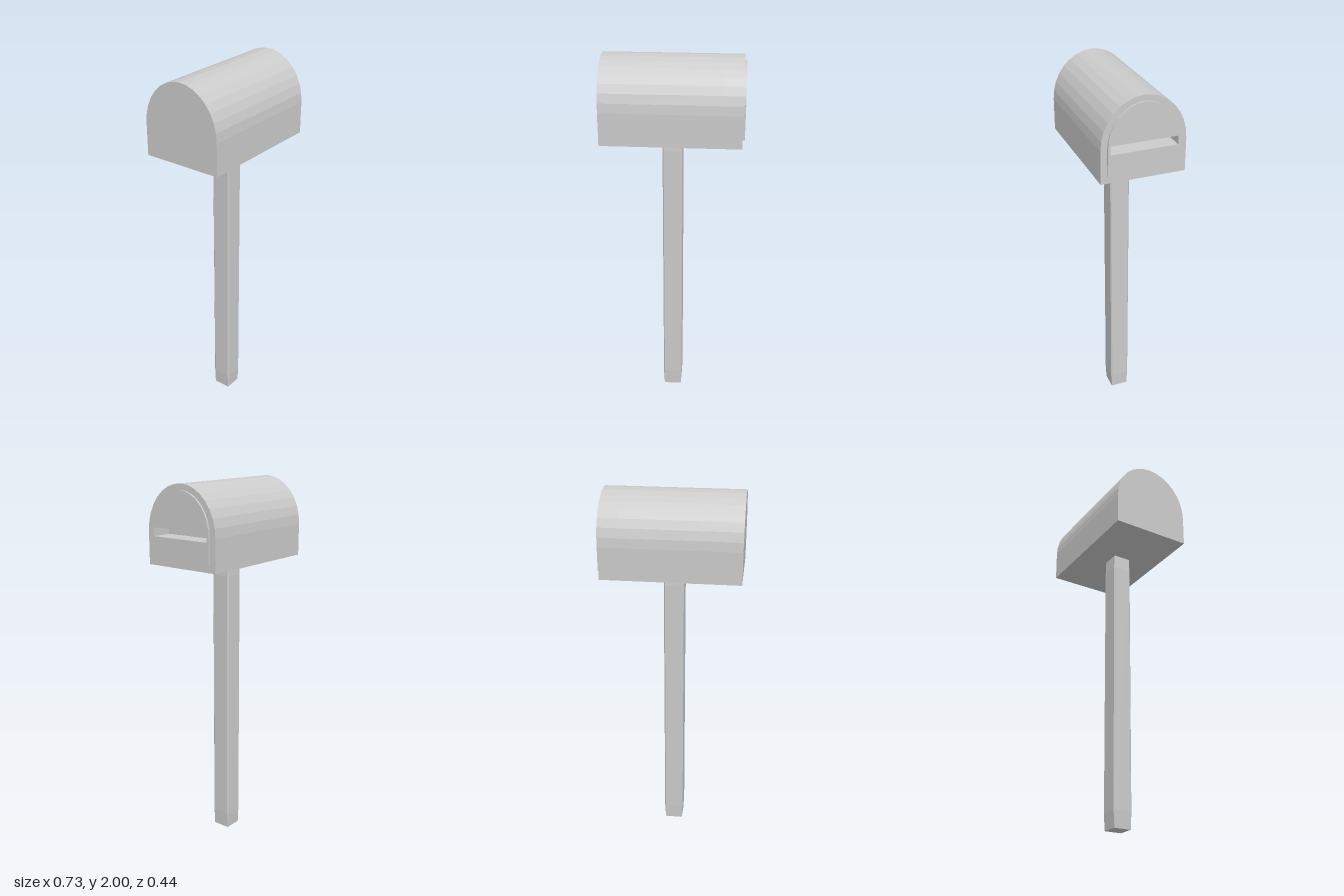
import * as THREE from 'three';

const CX = -0.006; // shared centre line of post and box

// Arched outline: straight sides with a half-ellipse of 16 facets on top
function archShape(halfWidth, bottom, spring, top) {
  const pts = [new THREE.Vector2(-halfWidth, bottom), new THREE.Vector2(halfWidth, bottom)];
  for (let i = 0; i <= 16; i++) {
    const a = (i / 16) * Math.PI;
    pts.push(new THREE.Vector2(halfWidth * Math.cos(a), spring + (top - spring) * Math.sin(a)));
  }
  return new THREE.Shape(pts);
}

function slotHole() {
  const w = 0.173, lo = 1.73, hi = 1.775;
  return new THREE.Path([
    new THREE.Vector2(-w, lo), new THREE.Vector2(-w, hi),
    new THREE.Vector2(w, hi), new THREE.Vector2(w, lo),
  ]);
}

// Extrude an outline along x from x0 to x1
function extrudeX(shape, x0, x1) {
  const g = new THREE.ExtrudeGeometry(shape, { depth: x1 - x0, bevelEnabled: false });
  return g.rotateY(Math.PI / 2).translate(x0, 0, 0);
}

// Square post whose chamfered corners run out to sharp ones at both ends
function postGeometry() {
  const levels = [[0, 0.048, 0], [0.09, 0.053, 0.006], [1.5, 0.053, 0.006], [1.59, 0.048, 0]];
  const pos = [], index = [];
  for (const [y, h, c] of levels) {
    for (let k = 0; k < 4; k++) {
      const cos = [1, 0, -1, 0][k], sin = [0, 1, 0, -1][k];
      for (const [x, z] of [[h, h - c], [h - c, h]]) {
        pos.push(x * cos - z * sin, y, x * sin + z * cos);
      }
    }
  }
  for (let l = 0; l < levels.length - 1; l++) {
    for (let i = 0; i < 8; i++) {
      const a = l * 8 + i, b = l * 8 + (i + 1) % 8;
      index.push(a, a + 8, b, b, a + 8, b + 8);
    }
  }
  const last = (levels.length - 1) * 8;
  for (let i = 1; i < 7; i++) {
    index.push(0, i, i + 1, last, last + i + 1, last + i);
  }
  const g = new THREE.BufferGeometry();
  g.setAttribute('position', new THREE.Float32BufferAttribute(pos, 3));
  g.setIndex(index);
  const flat = g.toNonIndexed();
  flat.computeVertexNormals();
  return flat;
}

export function createModel() {
  const group = new THREE.Group();
  const material = new THREE.MeshStandardMaterial({ color: 0xcccccc, flatShading: true });
  const add = (name, geometry) => {
    const mesh = new THREE.Mesh(geometry, material);
    mesh.name = name;
    group.add(mesh);
    return mesh;
  };

  // Post
  add('post', postGeometry()).position.x = CX;

  // Box: solid rear, front section pierced by the letter slot
  const outline = () => archShape(0.22, 1.58, 1.75, 2);
  const front = outline();
  front.holes.push(slotHole());
  add('boxRear', extrudeX(outline(), -0.367, 0.255));
  add('boxFront', extrudeX(front, 0.255, 0.355));

  // Raised door plate with the same slot
  const door = archShape(0.186, 1.615, 1.755, 1.97);
  door.holes.push(slotHole());
  add('door', extrudeX(door, 0.355, 0.366));

  return group;
}
